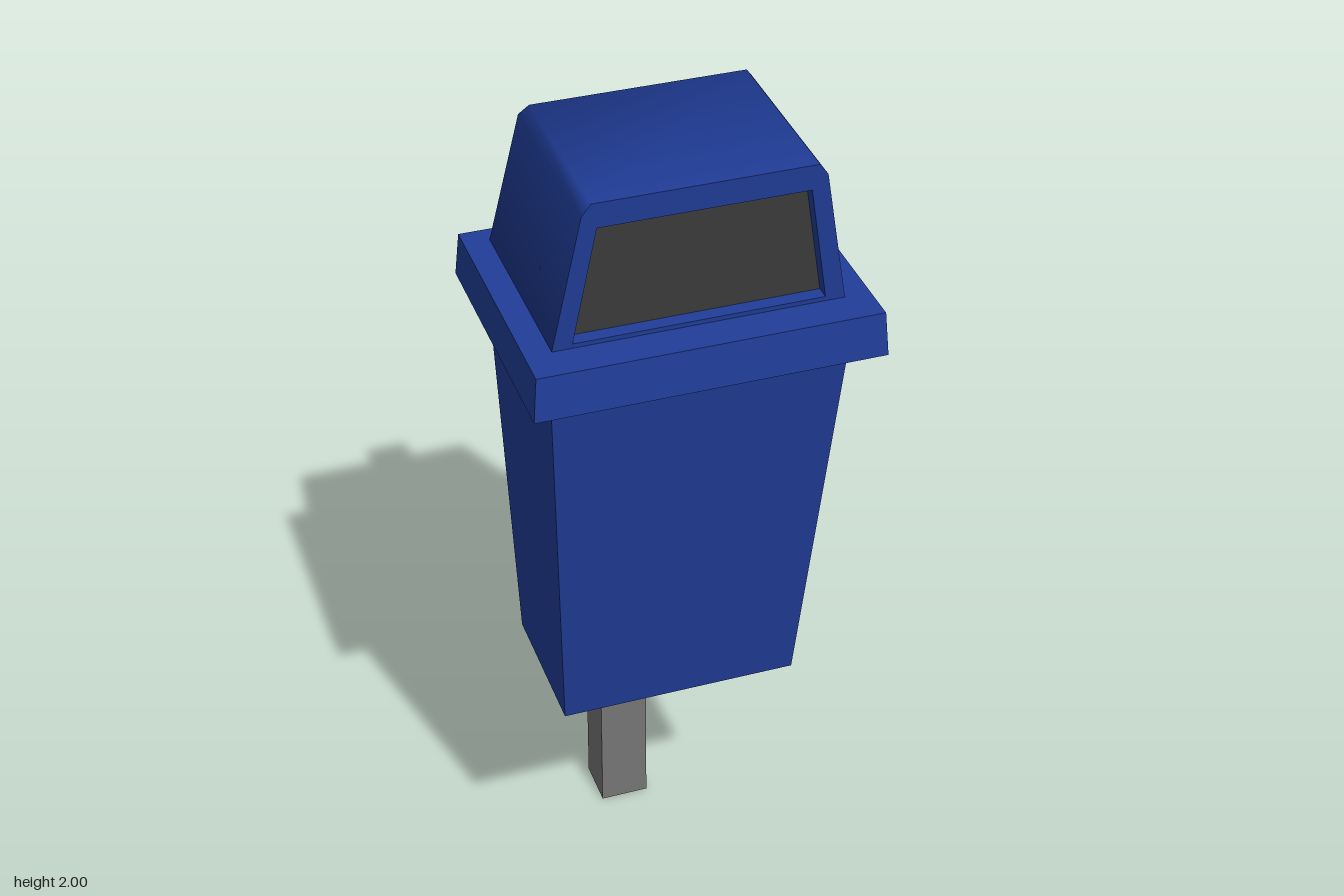
import * as THREE from 'three';

const blue = new THREE.MeshStandardMaterial({ color: 0x203d98 });
const blueThin = new THREE.MeshStandardMaterial({ color: 0x203d98, side: THREE.DoubleSide });
const grey = new THREE.MeshStandardMaterial({ color: 0x757575 });
const dark = new THREE.MeshStandardMaterial({ color: 0x3c3c3c });

function add(parent, name, geometry, material) {
  const mesh = new THREE.Mesh(geometry, material);
  mesh.name = name;
  parent.add(mesh);
  return mesh;
}

// Box whose lower and upper rectangles differ: [x half width, z min, z max]
function taperedBox(y0, [w0, a0, b0], y1, [w1, a1, b1]) {
  const geo = new THREE.BoxGeometry(2, 1, 1);
  const p = geo.attributes.position;
  for (let i = 0; i < p.count; i++) {
    const top = p.getY(i) > 0, front = p.getZ(i) > 0;
    p.setXYZ(i, p.getX(i) * (top ? w1 : w0), top ? y1 : y0,
      front ? (top ? b1 : b0) : (top ? a1 : a0));
  }
  geo.computeVertexNormals();
  return geo;
}

// Skin through rings of [x, y, z] points, optionally closed by a fan on the last ring
function skin(rings, capEnd) {
  const n = rings[0].length, index = [];
  for (let r = 0; r + 1 < rings.length; r++) {
    for (let i = 0; i < n; i++) {
      const j = (i + 1) % n, a = r * n + i, b = r * n + j;
      index.push(a, a + n, b, b, a + n, b + n);
    }
  }
  const last = (rings.length - 1) * n;
  if (capEnd) for (let i = 1; i + 1 < n; i++) index.push(last, last + i + 1, last + i);
  const geo = new THREE.BufferGeometry();
  geo.setAttribute('position', new THREE.Float32BufferAttribute(rings.flat(2), 3));
  geo.setIndex(index);
  return geo;
}

// Hood outline and window opening, counter-clockwise from the front
const outline = [[-0.296, 1.68], [0.296, 1.68], [0.24, 1.975], [0.222, 2], [-0.222, 2], [-0.24, 1.975]];
const opening = [[-0.255, 1.69], [0.255, 1.69], [0.21, 1.945], [-0.21, 1.945]];
const recess = 0.03;
const frontZ = (y) => 0.265 + 0.078 * (y - 1.68);
const backZ = (y) => (y > 1.99 ? -0.1 : -0.16 + 0.15 * (y - 1.68));
const ring = (points, zAt) => points.map(([x, y]) => [x, y, zAt(y)]);
const toShape = (points) => new THREE.Shape(points.map(([x, y]) => new THREE.Vector2(x, y)));

// Flat shape leaned to follow the hood front
function leaningFace(shape, offset) {
  const geo = new THREE.ShapeGeometry(shape);
  const p = geo.attributes.position;
  for (let i = 0; i < p.count; i++) p.setZ(i, frontZ(p.getY(i)) + offset);
  geo.computeVertexNormals();
  return geo;
}

function createHood() {
  const hood = new THREE.Group();
  hood.name = 'hood';
  const shell = skin([ring(outline, frontZ), ring(outline, backZ)], true);
  shell.computeVertexNormals();
  add(hood, 'hoodShell', shell, blueThin);

  const face = toShape(outline);
  face.holes.push(toShape(opening));
  add(hood, 'windowFrame', leaningFace(face, 0), blueThin);

  const reveal = skin([ring(opening, (y) => frontZ(y) - recess), ring(opening, frontZ)], false).toNonIndexed();
  reveal.computeVertexNormals();
  add(hood, 'windowReveal', reveal, blueThin);
  add(hood, 'windowFlap', leaningFace(toShape(opening), -recess), dark);
  return hood;
}

// Collar round the post plus a wing flaring out to the bin
function createBracket(name, y, height, tipZ, tipHeight) {
  const bracket = new THREE.Group();
  bracket.name = name;
  const collar = add(bracket, 'collar', new THREE.BoxGeometry(0.116, height, 0.117), dark);
  collar.position.set(0, y, -0.293);
  const h = height / 2, t = tipHeight / 2;
  const wing = add(bracket, 'wing',
    taperedBox(-0.236, [0.058, -h, h], tipZ, [0.09, -t, t]).rotateX(Math.PI / 2), dark);
  wing.position.y = y;
  return bracket;
}

export function createModel() {
  const model = new THREE.Group();
  model.name = 'postMountedBin';

  add(model, 'binBody', taperedBox(0.665, [0.26, -0.165, 0.16], 1.6, [0.306, -0.165, 0.282]), blue);
  add(model, 'rim', taperedBox(1.585, [0.358, -0.208, 0.348], 1.68, [0.35, -0.2, 0.342]), blue);
  model.add(createHood());

  const post = add(model, 'post', new THREE.BoxGeometry(0.112, 1.775, 0.113), grey);
  post.position.set(0, 0.8875, -0.2925);

  model.add(createBracket('upperBracket', 1.633, 0.076, -0.2, 0.045));
  model.add(createBracket('lowerBracket', 1.369, 0.058, -0.163, 0.028));
  return model;
}
